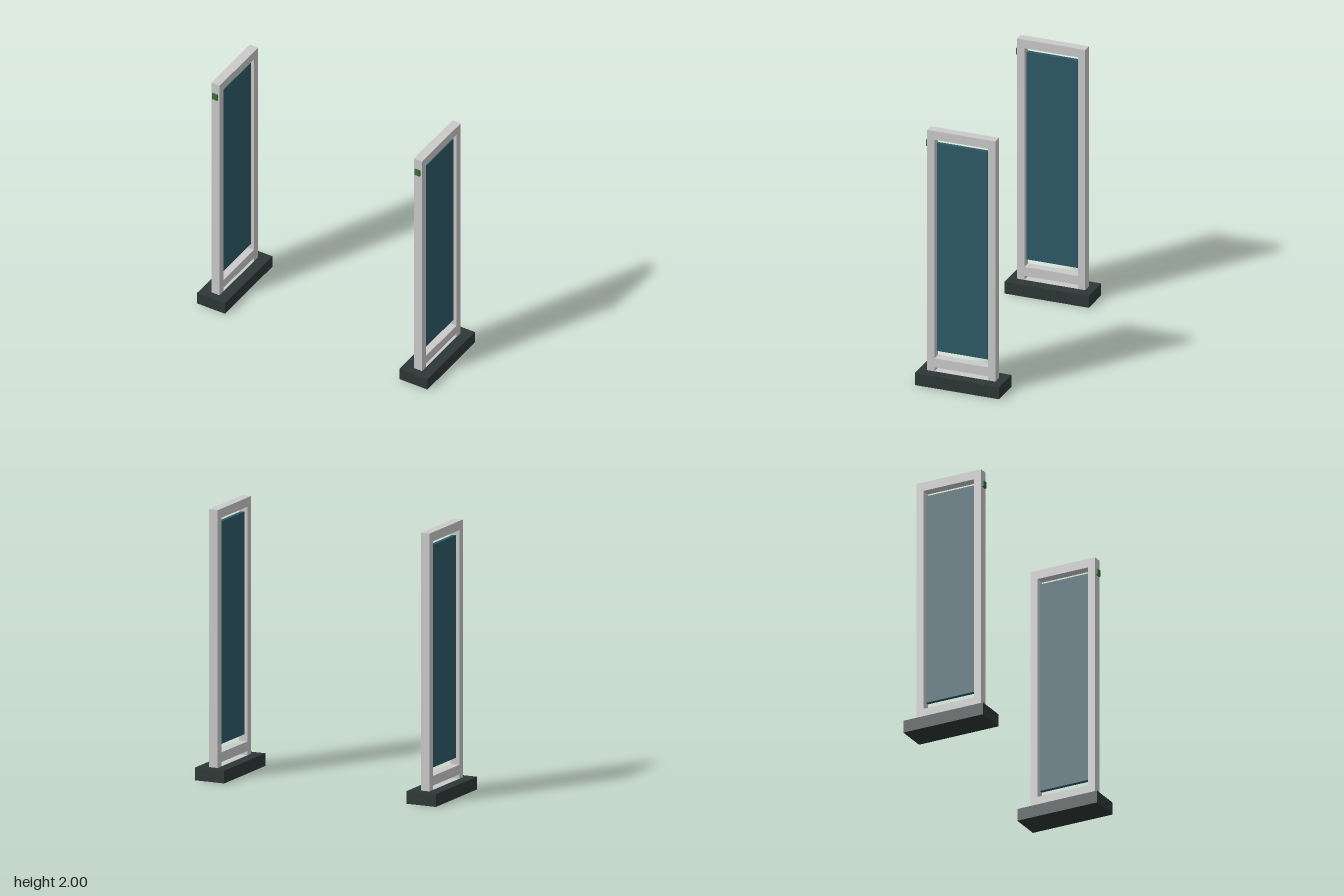
import * as THREE from 'three';

const material = (name, color) => {
  const m = new THREE.MeshStandardMaterial({ color });
  m.name = name;
  return m;
};

function box(name, mat, [w, h, d], [x, y, z]) {
  const mesh = new THREE.Mesh(new THREE.BoxGeometry(w, h, d), mat);
  mesh.name = name;
  mesh.position.set(x, y, z);
  return mesh;
}

// Rectangle running counter-clockwise, added to a shape or hole path
function rect(path, x0, y0, x1, y1) {
  path.moveTo(x0, y0);
  path.lineTo(x1, y0);
  path.lineTo(x1, y1);
  path.lineTo(x0, y1);
  path.closePath();
  return path;
}

export function createModel() {
  const frameGrey = material('frame grey', 0xcacaca);
  const baseDark = material('base charcoal', 0x2d3836);
  const glassTeal = material('panel teal', 0x2c5a65);
  const lampGreen = material('lamp green', 0x3a6b35);

  // Upright frame: large opening for the panel, low slot above the base
  const thickness = 0.07;
  const outline = rect(new THREE.Shape(), -0.266, 0.094, 0.266, 2);
  outline.holes.push(rect(new THREE.Path(), -0.209, 0.197, 0.209, 1.932));
  outline.holes.push(rect(new THREE.Path(), -0.209, 0.0945, 0.209, 0.126));
  const frameGeometry = new THREE.ExtrudeGeometry(outline, { depth: thickness, bevelEnabled: false });
  frameGeometry.translate(0, 0, -thickness / 2);
  frameGeometry.rotateY(Math.PI / 2);

  const model = new THREE.Group();
  model.name = 'gatePair';
  for (const side of [-1, 1]) {
    const gate = new THREE.Group();
    gate.name = side < 0 ? 'rightGate' : 'leftGate';
    gate.position.x = side * 0.858;

    const frame = new THREE.Mesh(frameGeometry, frameGrey);
    frame.name = 'frame';
    gate.add(
      frame,
      box('base', baseDark, [0.236, 0.094, 0.656], [0, 0.047, 0]),
      box('panel', glassTeal, [0.03, 1.645, 0.396], [0, 1.0725, 0]),
      box('statusLamp', lampGreen, [0.045, 0.048, 0.016], [0, 1.89, 0.272])
    );
    model.add(gate);
  }
  return model;
}
